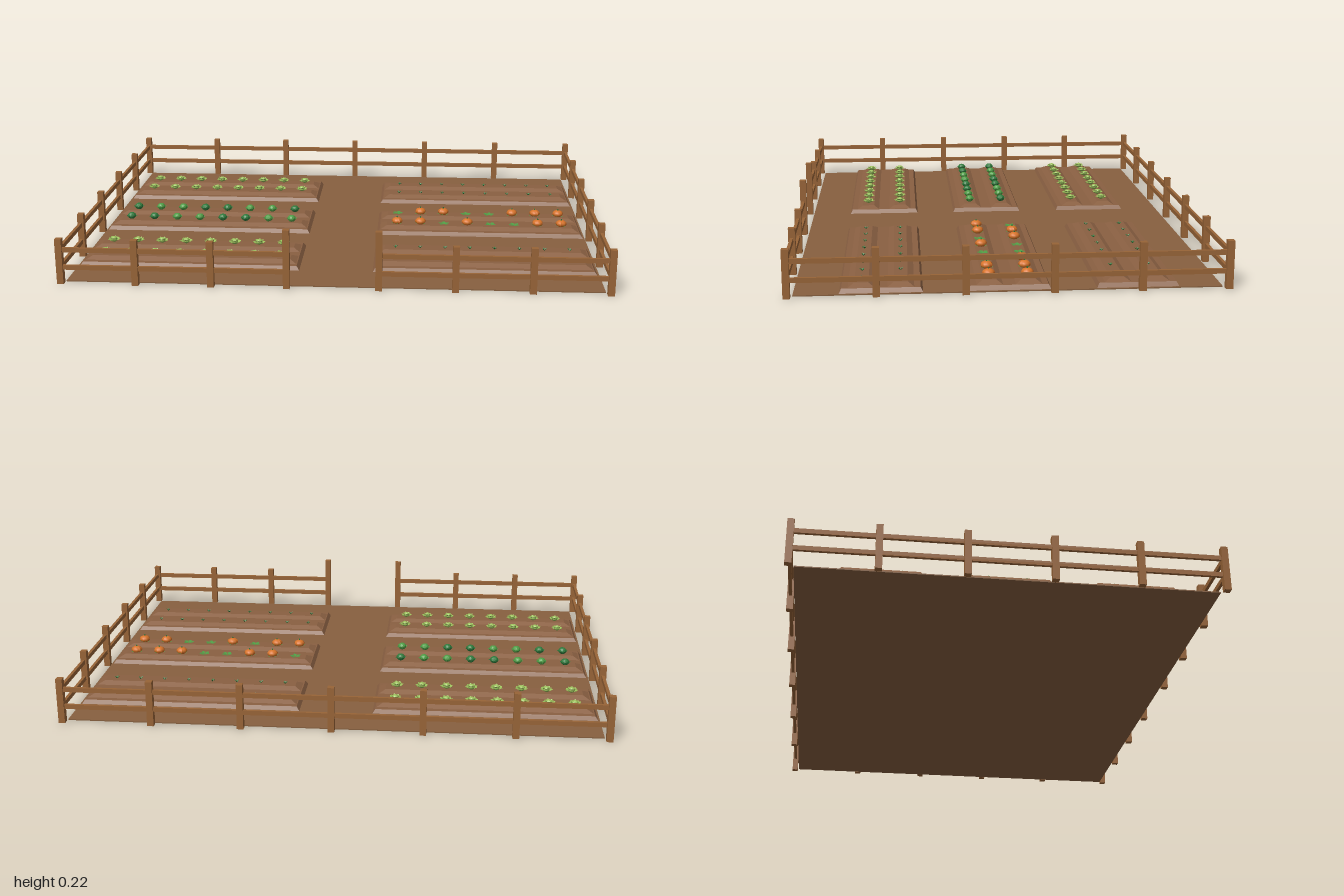
import * as THREE from 'three';
import { mergeGeometries } from 'three/addons/utils/BufferGeometryUtils.js';

const mat = (name, color, extra = {}) => {
  const m = new THREE.MeshStandardMaterial({ color, ...extra });
  m.name = name;
  return m;
};

export function createModel() {
  const root = new THREE.Group();
  root.name = 'gardenPlot';

  const soil = mat('soil', 0x87603f);
  const bedSoil = mat('bedSoil', 0x8a6042);
  const wood = mat('wood', 0x986437);
  const paleLeaf = mat('paleLeaf', 0x9cc05c, { side: THREE.DoubleSide });
  const midLeaf = mat('midLeaf', 0x4f9c45, { side: THREE.DoubleSide });
  const darkLeaf = mat('darkLeaf', 0x2f7a3c, { side: THREE.DoubleSide });
  const orange = mat('orange', 0xd8742a);

  const add = (parent, name, geo, material, x = 0, y = 0, z = 0) => {
    const m = new THREE.Mesh(geo, material);
    m.name = name;
    m.position.set(x, y, z);
    parent.add(m);
    return m;
  };

  // Ground
  add(root, 'ground', new THREE.BoxGeometry(1.94, 0.004, 1.46), soil, 0, 0.002, 0);

  // Fence: posts and two rails along each run
  const FX = 0.985, FZ = 0.748, POST = 0.024;
  const fence = new THREE.Group();
  fence.name = 'fence';
  root.add(fence);
  const post = (x, z, h = 0.17) =>
    add(fence, 'fencePost', new THREE.BoxGeometry(POST, h, POST), wood, x, h / 2, z);
  const rails = (x0, z0, x1, z1) => {
    for (const y of [0.062, 0.128]) {
      const alongX = z0 === z1;
      const len = Math.abs(x1 - x0) + Math.abs(z1 - z0);
      add(fence, 'fenceRail', new THREE.BoxGeometry(alongX ? len : 0.011, 0.017, alongX ? 0.011 : len),
        wood, (x0 + x1) / 2, y, (z0 + z1) / 2);
    }
  };
  for (let i = 0; i < 7; i++) post(-FX + i * FX / 3, -FZ);
  rails(-FX, -FZ, FX, -FZ);
  for (const s of [-1, 1]) {
    for (const z of [-0.45, -0.15, 0.15, 0.45]) post(s * FX, z);
    rails(s * FX, -FZ, s * FX, FZ);
    for (const x of [FX, 0.712, 0.438]) post(s * x, FZ);
    post(s * 0.165, FZ, 0.22);
    rails(s * 0.165, FZ, s * FX, FZ);
  }

  // Sloped block: a box whose top is drawn in on every side
  const mound = (w, d, h, inX, inZ) => {
    const g = new THREE.BoxGeometry(w, h, d).translate(0, h / 2, 0);
    const p = g.attributes.position;
    for (let i = 0; i < p.count; i++) {
      if (p.getY(i) < h / 2) continue;
      p.setX(i, p.getX(i) - Math.sign(p.getX(i)) * inX);
      p.setZ(i, p.getZ(i) - Math.sign(p.getZ(i)) * inZ);
    }
    g.computeVertexNormals();
    return g;
  };
  const baseGeo = mound(0.83, 0.285, 0.017, 0.012, 0.009);
  const ridgeGeo = mound(0.80, 0.092, 0.012, 0.025, 0.022);

  // Pointed, folded leaf reaching out along +x, set in a ring
  const leafRing = (n, r, width, rise, turn = 0) => {
    const leaves = [];
    for (let i = 0; i < n; i++) {
      const g = new THREE.BufferGeometry();
      g.setAttribute('position', new THREE.Float32BufferAttribute([
        0, 0, 0, r * 0.6, rise * 0.8, width / 2, r, rise, 0,
        0, 0, 0, r, rise, 0, r * 0.6, rise * 0.8, -width / 2], 3));
      g.computeVertexNormals();
      leaves.push(g.rotateY(turn + i * Math.PI * 2 / n));
    }
    return mergeGeometries(leaves);
  };
  const ball = (r, sy, y) => {
    const g = new THREE.IcosahedronGeometry(r, 1).scale(1, sy, 1).translate(0, y, 0);
    g.computeVertexNormals();
    return g;
  };

  const lettuceOuter = leafRing(7, 0.026, 0.024, 0.014);
  const lettuceInner = leafRing(6, 0.018, 0.018, 0.021, 0.4);
  const lettuceHeart = ball(0.013, 0.9, 0.013);
  const cabbageLeaves = leafRing(6, 0.023, 0.024, 0.015);
  const cabbageHead = ball(0.017, 0.85, 0.014);
  const sproutLeaves = leafRing(4, 0.010, 0.007, 0.009);
  const vineLeaves = leafRing(5, 0.024, 0.018, 0.006);
  const stemGeo = new THREE.CylinderGeometry(0.002, 0.003, 0.008, 5).translate(0, 0.029, 0);

  // Ribbed pumpkin: a squashed sphere with scalloped sides
  const pumpkinGeo = new THREE.SphereGeometry(0.021, 16, 8);
  const pp = pumpkinGeo.attributes.position;
  for (let i = 0; i < pp.count; i++) {
    const k = 1 + 0.07 * Math.cos(8 * Math.atan2(pp.getZ(i), pp.getX(i)));
    pp.setXYZ(i, pp.getX(i) * k, pp.getY(i) * 0.68 + 0.0135, pp.getZ(i) * k);
  }
  pumpkinGeo.computeVertexNormals();

  // Crops, each filling its own group
  const ripe = ['01100111', '11010011'];
  const crops = {
    lettuce(g) {
      add(g, 'outerLeaves', lettuceOuter, paleLeaf);
      add(g, 'innerLeaves', lettuceInner, paleLeaf);
      add(g, 'heart', lettuceHeart, paleLeaf);
    },
    cabbage(g, row, i) {
      const dark = (i * 3 + row) % 4 < 2;
      add(g, 'outerLeaves', cabbageLeaves, dark ? darkLeaf : midLeaf);
      add(g, 'head', cabbageHead, dark ? darkLeaf : midLeaf);
    },
    sprout(g) {
      add(g, 'sproutLeaves', sproutLeaves, darkLeaf);
    },
    pumpkin(g, row, i) {
      add(g, 'vineLeaves', vineLeaves, midLeaf);
      if (ripe[row][i] === '0') return;
      add(g, 'fruit', pumpkinGeo, orange);
      add(g, 'stem', stemGeo, darkLeaf);
    },
  };

  // Raised beds with two planted ridges each
  const layout = [
    [-1, -0.44, 'lettuce'], [-1, 0, 'cabbage'], [-1, 0.435, 'lettuce'],
    [1, -0.44, 'sprout'], [1, 0, 'pumpkin'], [1, 0.435, 'sprout'],
  ];
  for (const [side, z, crop] of layout) {
    const bed = new THREE.Group();
    bed.name = crop + 'Bed';
    bed.position.set(side * 0.55, 0.002, z);
    root.add(bed);
    add(bed, 'bedBase', baseGeo, bedSoil);
    [-0.067, 0.067].forEach((rz, row) => {
      add(bed, 'bedRidge', ridgeGeo, bedSoil, 0, 0.0165, rz);
      for (let i = 0; i < 8; i++) {
        const plant = new THREE.Group();
        plant.name = crop;
        plant.position.set(-0.333 + i * 0.0951, 0.0275, rz);
        plant.rotation.y = (i * 5 + row * 3) * 0.7;
        bed.add(plant);
        crops[crop](plant, row, i);
      }
    });
  }
  return root;
}
